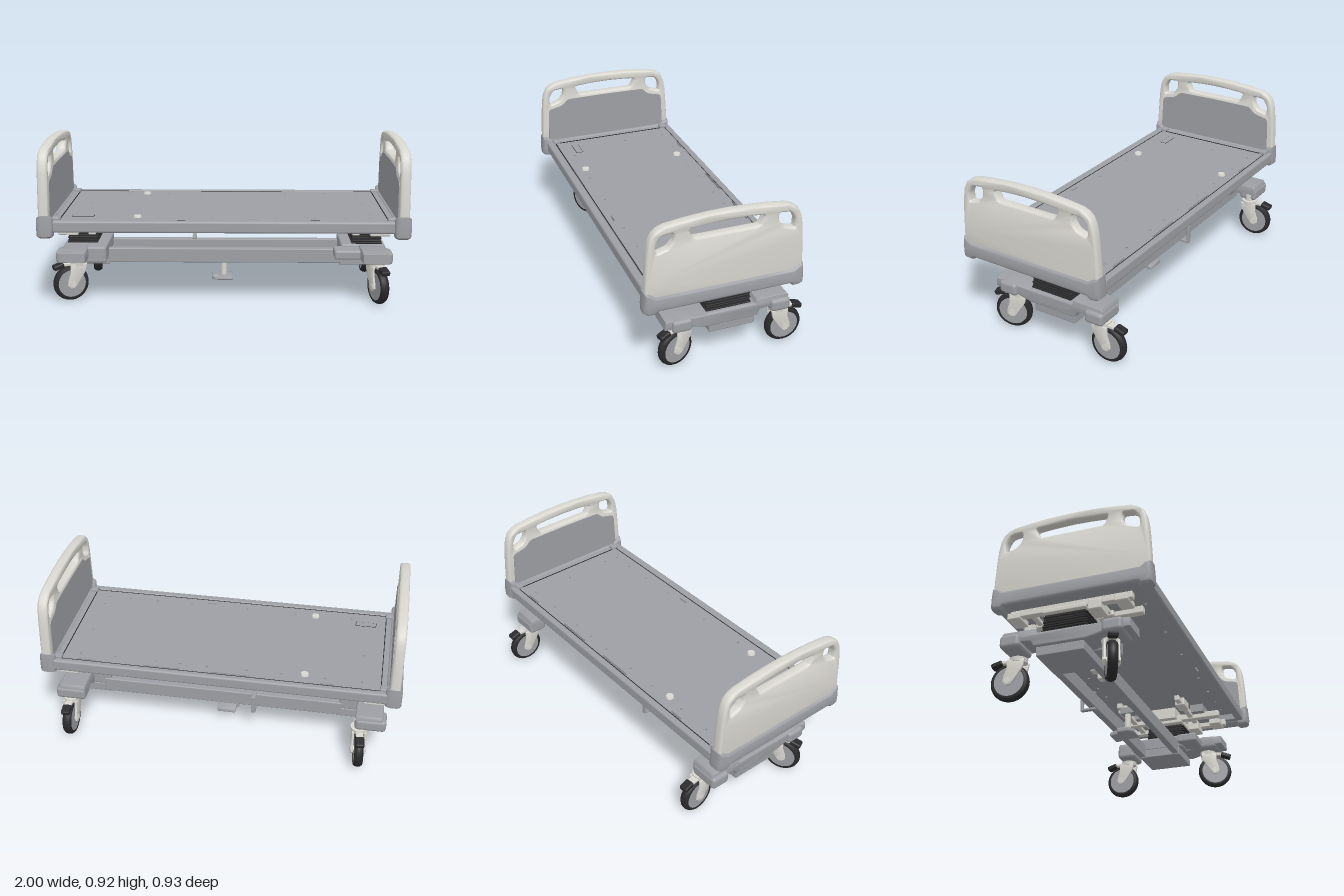
import * as THREE from 'three';
import { toCreasedNormals } from 'three/addons/utils/BufferGeometryUtils.js';
import { RoundedBoxGeometry } from 'three/addons/geometries/RoundedBoxGeometry.js';

const mat = (name, color) => {
  const m = new THREE.MeshStandardMaterial({ color });
  m.name = name;
  return m;
};
const GREY = mat('frame grey', 0x9d9fa4);
const BEIGE = mat('warm white', 0xd9d7d0);
const BLACK = mat('rubber black', 0x2a2a2c);
const CZ = 0.035; // the deck and end boards sit slightly forward

function add(parent, name, geo, material) {
  const m = new THREE.Mesh(geo, material);
  m.name = name;
  parent.add(m);
  return m;
}

// Box given by its limits; r rounds the edges
function box(parent, name, material, [x0, x1], [y0, y1], [z0, z1], r = 0) {
  const s = [Math.abs(x1 - x0), y1 - y0, z1 - z0];
  const geo = r ? new RoundedBoxGeometry(...s, 2, r) : new THREE.BoxGeometry(...s);
  const m = add(parent, name, geo, material);
  m.position.set((x0 + x1) / 2, (y0 + y1) / 2, (z0 + z1) / 2);
  return m;
}

function cyl(parent, name, material, r0, r1, y0, y1, x, z, n = 24) {
  const m = add(parent, name, new THREE.CylinderGeometry(r1, r0, y1 - y0, n), material);
  m.position.set(x, (y0 + y1) / 2, z);
  return m;
}

// Extrudes a (z, y) shape along x between xa and xb; round is the depth of the bevel along x
function slabX(shape, xa, xb, bevel = 0, round = bevel) {
  const geo = new THREE.ExtrudeGeometry(shape, {
    depth: Math.abs(xb - xa) - 2 * round, bevelEnabled: bevel > 0, bevelThickness: round,
    bevelSize: bevel, bevelOffset: -bevel, bevelSegments: 4, curveSegments: 6,
  });
  geo.rotateY(-Math.PI / 2).translate(Math.max(xa, xb) - round, 0, 0);
  return toCreasedNormals(geo, 0.7);
}

const poly = (pts) => new THREE.Shape(pts.map((p) => new THREE.Vector2(...p)));
const mirrored = (half) => [...half, ...half.filter((p) => p[0] !== 0).map(([u, v]) => [-u, v]).reverse()];
const centred = (pts) => pts.map(([u, v]) => [u + CZ, v]);

// Closed polygon with rounded corners
function rounded(pts, r, path = new THREE.Shape()) {
  const v = pts.map((p) => new THREE.Vector2(...p));
  v.forEach((p, i) => {
    const toward = (q) => p.clone().lerp(q, Math.min(0.45, r / p.distanceTo(q)));
    const a = toward(v[(i + v.length - 1) % v.length]);
    const b = toward(v[(i + 1) % v.length]);
    if (i) path.lineTo(a.x, a.y);
    else path.moveTo(a.x, a.y);
    path.quadraticCurveTo(p.x, p.y, b.x, b.y);
  });
  path.closePath();
  return path;
}

// Head and foot boards
function endBoard(s) {
  const g = new THREE.Group();
  g.name = s > 0 ? 'leftEndBoard' : 'rightEndBoard';
  const outline = poly(centred(mirrored([
    [0.421, 0.49], [0.42, 0.58], [0.413, 0.7], [0.407, 0.77], [0.398, 0.82], [0.381, 0.858], [0.354, 0.881],
    [0.32, 0.894], [0.22, 0.907], [0.11, 0.915], [0, 0.918]])));
  const grip = mirrored([[0.174, 0.804], [0.198, 0.858], [0.1, 0.865], [0, 0.868]]);
  const corner = [[0.363, 0.754], [0.363, 0.806], [0.338, 0.846], [0.274, 0.854], [0.275, 0.81], [0.3, 0.774]];
  for (const h of [grip, corner, corner.map(([u, v]) => [-u, v])]) {
    outline.holes.push(rounded(centred(h), 0.015, new THREE.Path()));
  }
  add(g, 'board', slabX(outline, s * 0.932, s * 0.987, 0.011, 0.02), BEIGE);

  const inner = rounded(centred(mirrored([[0.385, 0.5], [0.375, 0.725], [0.285, 0.745], [0.25, 0.782], [0, 0.785]])), 0.02);
  add(g, 'innerPanel', slabX(inner, s * 0.928, s * 0.934), GREY);

  const skirt = poly(centred(mirrored([
    [0, 0.433], [0.355, 0.433], [0.37, 0.418], [0.41, 0.42], [0.428, 0.432], [0.43, 0.47], [0.424, 0.546],
    [0.395, 0.544], [0.365, 0.522], [0.2, 0.521], [0, 0.521]]).reverse()));
  add(g, 'skirt', slabX(skirt, s * 0.912, s, 0.018, 0.03), GREY);
  return g;
}

// Mattress deck with slots and drilled holes
function deck() {
  const g = new THREE.Group();
  g.name = 'deck';
  const top = poly([[-0.885, -0.39], [0.885, -0.39], [0.885, 0.352], [-0.885, 0.352]]);
  const slot = (x0, x1, z, h) => top.holes.push(new THREE.Path(
    [[x0, -z - h], [x0, -z + h], [x1, -z + h], [x1, -z - h]].map((p) => new THREE.Vector2(...p))));
  [[-0.64, -0.56], [-0.18, 0.04], [0.21, 0.42], [0.69, 0.79]].forEach(([a, b]) => slot(a, b, -0.342, 0.006));
  slot(0.13, 0.19, 0.35, 0.005);
  const rows = [[-0.29, [-0.78, -0.58, -0.34, -0.15, 0.07, 0.22, 0.36, 0.59, 0.79]],
    [0.325, [-0.68, -0.35, -0.06, 0.28, 0.49, 0.66, 0.79]], [-0.04, [-0.78, 0.79]], [0.24, [0.8]]];
  for (const [z, xs] of rows) for (const x of xs) top.holes.push(new THREE.Path().absarc(x, -z, 0.007, 0, Math.PI * 2));
  const geo = new THREE.ExtrudeGeometry(top, { depth: 0.02, bevelEnabled: false, curveSegments: 6 });
  add(g, 'deckSheet', geo.rotateX(-Math.PI / 2).translate(0, 0.488, 0), GREY);

  box(g, 'frontRail', GREY, [-0.925, 0.925], [0.448, 0.513], [0.39, 0.436], 0.012);
  box(g, 'backRail', GREY, [-0.925, 0.925], [0.448, 0.513], [-0.391, -0.352], 0.012);
  for (const s of [-1, 1]) {
    box(g, 'endRail', GREY, [s * 0.925, s * 0.885], [0.448, 0.511], [-0.36, 0.41], 0.006);
    box(g, 'deckSeam', BLACK, [s * 0.887, s * 0.883], [0.505, 0.5115], [-0.33, 0.37]);
    for (const z of [-0.34, 0.38]) box(g, 'cornerBlock', GREY, [s * 0.925, s * 0.88], [0.49, 0.526], [z - 0.022, z + 0.022], 0.008);
  }
  box(g, 'frontSeam', BLACK, [-0.88, 0.88], [0.505, 0.509], [0.385, 0.39]);
  box(g, 'backSeam', BLACK, [-0.88, 0.88], [0.505, 0.509], [-0.353, -0.35]);
  box(g, 'recessRim', BLACK, [-0.83, -0.71], [0.503, 0.5085], [0.258, 0.302]);
  box(g, 'recessPlate', GREY, [-0.827, -0.713], [0.503, 0.51], [0.261, 0.299]);
  for (const z of [-0.275, 0.315]) cyl(g, 'knob', BEIGE, 0.024, 0.02, 0.505, 0.519, -0.47, z);
  return g;
}

// Wheel, fork and brake pedal; trails toward local -z
function caster(x, z, turn) {
  const g = new THREE.Group();
  g.name = 'caster';
  const tread = [[0.072, -0.022], [0.09, -0.025], [0.099, -0.014], [0.102, 0], [0.099, 0.014], [0.09, 0.025], [0.072, 0.022]];
  const tyre = add(g, 'tyre', new THREE.LatheGeometry(tread.map((p) => new THREE.Vector2(...p)), 40), BLACK);
  const disc = add(g, 'wheelDisc', new THREE.CylinderGeometry(0.079, 0.079, 0.047, 32), GREY);
  const axle = add(g, 'axle', new THREE.CylinderGeometry(0.018, 0.018, 0.088, 16), BEIGE);
  for (const m of [tyre, disc, axle]) {
    m.rotation.z = Math.PI / 2;
    m.position.set(0, 0.102, -0.04);
  }
  const cheek = poly([[0.045, 0.215], [0.036, 0.17], [-0.01, 0.1], [-0.026, 0.079], [-0.05, 0.075], [-0.068, 0.095],
    [-0.064, 0.125], [-0.05, 0.165], [-0.05, 0.215]].reverse());
  for (const s of [-1, 1]) add(g, 'forkCheek', slabX(cheek, s * 0.028, s * 0.041, 0.003), BEIGE);
  cyl(g, 'forkCrown', BEIGE, 0.046, 0.048, 0.204, 0.228, 0, 0);
  cyl(g, 'stem', BEIGE, 0.03, 0.03, 0.22, 0.27, 0, 0);
  box(g, 'pedalArm', BEIGE, [-0.02, 0.02], [0.203, 0.222], [-0.1, -0.02], 0.005);
  box(g, 'brakePedal', BLACK, [-0.025, 0.025], [0.191, 0.219], [-0.142, -0.08], 0.009).rotation.x = -0.3;
  g.position.set(x, 0, z);
  g.rotation.y = turn;
  return g;
}

// Wheeled end of the chassis with its lifting column
function baseEnd(s) {
  const g = new THREE.Group();
  g.name = s > 0 ? 'leftBase' : 'rightBase';
  const side = poly([[0.325, 0.25], [0.322, 0.3], [0.2, 0.307], [0.17, 0.297], [-0.17, 0.298], [-0.18, 0.322], [-0.35, 0.324],
    [-0.36, 0.31], [-0.358, 0.27], [-0.2, 0.258], [-0.185, 0.225], [0.1, 0.222], [0.18, 0.24]].reverse());
  add(g, 'crossBeam', slabX(side, s * 0.765, s * 0.915, 0.008), GREY);
  for (const z of [0.235, -0.31]) box(g, 'casterHousing', GREY, [s * 0.765, s * 0.935], [0.232, 0.304], [z - 0.055, z + 0.055], 0.02);
  box(g, 'columnHousing', GREY, [s * 0.665, s * 0.915], [0.222, 0.3], [-0.175, 0.1], 0.012);
  box(g, 'lowerTray', GREY, [s * 0.66, s * 0.9], [0.173, 0.225], [-0.175, 0.08], 0.005);
  if (s > 0) box(g, 'sideBracket', GREY, [0.62, 0.78], [0.235, 0.288], [0.08, 0.2], 0.012);
  else box(g, 'sideBracket', GREY, [-0.665, -0.78], [0.212, 0.304], [0.08, 0.2], 0.012);

  // bellows folds
  box(g, 'bellowsCore', BLACK, [s * 0.735, s * 0.885], [0.295, 0.4], [-0.138, 0.078]);
  for (let i = 0; i < 7; i++) {
    const o = 0.003 * (i % 2) + 0.0012 * i;
    box(g, 'bellowsFold', BLACK, [s * (0.725 + o), s * (0.897 - o)], [0.302 + i * 0.0135, 0.311 + i * 0.0135], [-0.152 + o, 0.098 - o], 0.003);
  }

  // lift carriage under the deck
  const inX = s > 0 ? 0.4 : 0.6;
  box(g, 'carriage', BEIGE, [s * 0.7, s * 0.91], [0.4, 0.425], [-0.145, 0.09], 0.006);
  box(g, 'carriageTop', BEIGE, [s * 0.66, s * 0.9], [0.42, 0.49], [-0.12, 0.06]);
  for (const x of [0.72, 0.88]) box(g, 'crossRail', BEIGE, [s * (x - 0.02), s * (x + 0.02)], [0.412, 0.45], [-0.325, 0.33], 0.005);
  for (const z of [-0.22, 0.15]) {
    box(g, 'guideRail', BEIGE, [s * inX, s * 0.9], [0.42, 0.452], [z - 0.015, z + 0.015], 0.004);
    box(g, 'actuator', BEIGE, [s * (inX + 0.06), s * (inX + 0.16)], [0.41, 0.46], [z - 0.03, z + 0.03], 0.008);
  }
  for (const [z, y] of [[-0.3, 0.4], [0.28, 0.402], [0.14, 0.38]]) {
    box(g, 'clamp', BEIGE, [s * 0.8, s * 0.91], [y, 0.435], [z - 0.04, z + 0.03], 0.006);
  }
  for (const z of [-0.22, 0.2]) box(g, 'mount', GREY, [s * 0.66, s * 0.86], [0.44, 0.49], [z - 0.04, z + 0.04]);
  return g;
}

// Long beams joining both ends, with the central foot pedal
function chassis() {
  const g = new THREE.Group();
  g.name = 'chassis';
  for (const z of [0.055, -0.16]) box(g, 'longBeam', GREY, [-0.68, 0.7], [0.18, 0.264], [z - 0.02, z + 0.02], 0.006);
  box(g, 'pedalCrossbar', GREY, [-0.03, 0.025], [0.19, 0.225], [-0.05, 0.05]);
  for (const x of [-0.47, -0.57]) box(g, 'beamFitting', BEIGE, [x - 0.025, x + 0.025], [0.2, 0.235], [-0.01, 0.04], 0.006);
  for (const y of [0.166, 0.262]) box(g, 'beamClip', GREY, [-0.195, -0.17], [y, y + 0.014], [-0.228, -0.14], 0.004);
  box(g, 'beamClipBar', GREY, [-0.195, -0.17], [0.166, 0.276], [-0.228, -0.214], 0.004);
  cyl(g, 'pedalPost', BEIGE, 0.017, 0.017, 0.08, 0.2, -0.005, -0.016);
  const foot = rounded([[0.036, 0.062], [0.03, 0.082], [-0.03, 0.09], [-0.102, 0.074], [-0.106, 0.05], [-0.04, 0.06]], 0.012);
  add(g, 'footPedal', slabX(foot, -0.06, 0.048, 0.005), GREY);
  box(g, 'pedalTip', GREY, [-0.075, -0.03], [0.06, 0.09], [-0.06, 0.02], 0.01);
  return g;
}

export function createModel() {
  const bed = new THREE.Group();
  bed.name = 'hospitalBed';
  bed.add(deck(), chassis());
  for (const s of [-1, 1]) bed.add(endBoard(s), baseEnd(s));
  bed.add(caster(0.86, -0.32, 0), caster(-0.79, -0.32, 0.1), caster(0.85, 0.215, Math.PI + 0.3), caster(-0.83, 0.195, 2.03));
  return bed;
}
